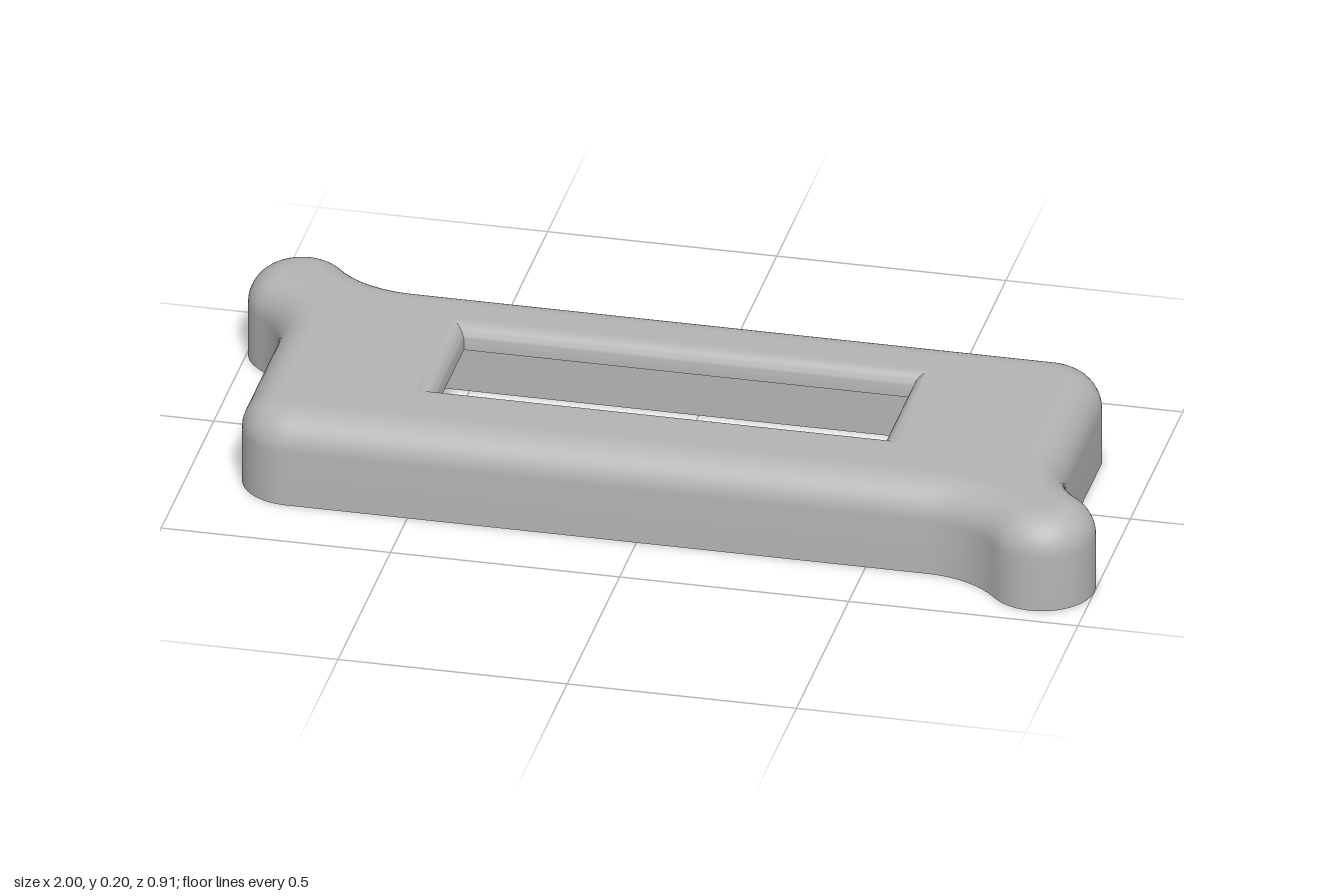
import * as THREE from 'three';
import { toCreasedNormals } from 'three/addons/utils/BufferGeometryUtils.js';

const H = 0.205, CEIL = 0.15;           // overall height, underside of the roof
const BX = 0.885, BZ = 0.34;            // half size of the body
const EAR = 0.115, CORNER = 0.12, BLEND = 0.215, FILLET = 0.08;
const WINDOW = { x: 0.49, z0: -0.158, z1: 0.119, fillet: 0.035 };

// Plan outline [x, z], inset by d: rounded corner, blend, ear, blend, then the same turned half a turn
function outline(d) {
  const dx = Math.sqrt(2 * EAR * BLEND + EAR * EAR);
  const t = Math.atan2(BLEND, dx), P = Math.PI;
  const half = [];
  const arc = (cx, cz, r, a0, a1, n, skip = 0) => {
    for (let i = skip; i <= n - skip; i++) {
      const a = a0 + (a1 - a0) * i / n;
      half.push([cx + r * Math.cos(a), cz + r * Math.sin(a)]);
    }
  };
  arc(BX - CORNER, -BZ + CORNER, CORNER - d, -P / 2, 0, 14);
  arc(BX + BLEND, BZ - dx, BLEND + d, P, P / 2 + t, 12);
  arc(BX, BZ, EAR - d, t - P / 2, P - t, 32, 1);
  arc(BX - dx, BZ + BLEND, BLEND + d, -t, -P / 2, 12);
  return [...half, ...half.map(([x, z]) => [-x, -z])];
}

const rect = (x, z0, z1, g = 0) =>
  [[x + g, z0 - g], [x + g, z1 + g], [-x - g, z1 + g], [-x - g, z0 - g]];

const circle = (cx, cz, r, n = 32) => Array.from({ length: n }, (_, i) => {
  const a = i / n * Math.PI * 2;
  return [cx + r * Math.cos(a), cz + r * Math.sin(a)];
});

// Wall through closed loops {pts, y}; rising loops face outward, falling loops face inward
function wall(loops) {
  const pos = [];
  for (let k = 0; k + 1 < loops.length; k++) {
    const n = loops[k].pts.length;
    const v = (l, i) => [l.pts[i % n][0], l.y, l.pts[i % n][1]];
    for (let i = 0; i < n; i++) {
      const a = v(loops[k], i), a2 = v(loops[k], i + 1);
      const b = v(loops[k + 1], i), b2 = v(loops[k + 1], i + 1);
      pos.push(...a, ...b, ...a2, ...a2, ...b, ...b2);
    }
  }
  const g = new THREE.BufferGeometry();
  g.setAttribute('position', new THREE.Float32BufferAttribute(pos, 3));
  return toCreasedNormals(g, 0.5);
}

// Flat horizontal face with holes
function plate(pts, holes, y, up) {
  const s = up ? -1 : 1;
  const flat = p => p.map(([x, z]) => new THREE.Vector2(x, s * z));
  const shape = new THREE.Shape(flat(pts));
  holes.forEach(h => shape.holes.push(new THREE.Path(flat(h))));
  return new THREE.ShapeGeometry(shape).rotateX(s * Math.PI / 2).translate(0, y, 0);
}

export function createModel() {
  const group = new THREE.Group();
  const grey = new THREE.MeshStandardMaterial({ color: 0xb4b4b4 });
  grey.name = 'grey';
  const add = (name, geometry) => {
    const mesh = new THREE.Mesh(geometry, grey);
    mesh.name = name;
    group.add(mesh);
  };

  // Outer wall with its rounded upper edge
  const outer = [{ pts: outline(0), y: 0 }];
  for (let i = 0; i <= 12; i++) {
    const a = i / 12 * Math.PI / 2;
    outer.push({ pts: outline(FILLET * (1 - Math.cos(a))), y: H - FILLET + FILLET * Math.sin(a) });
  }
  add('outerWall', wall(outer));

  // Window edge, rounded at the top and mitred at the corners
  const { x, z0, z1, fillet } = WINDOW;
  const edge = [];
  for (let i = 0; i <= 8; i++) {
    const a = i / 8 * Math.PI / 2;
    edge.push({ pts: rect(x, z0, z1, fillet * (1 - Math.sin(a))), y: H - fillet + fillet * Math.cos(a) });
  }
  edge.push({ pts: rect(x, z0, z1), y: CEIL });
  add('windowEdge', wall(edge));
  add('topFace', plate(outline(FILLET), [rect(x, z0, z1, fillet)], H, true));

  // Hollow underside
  const cavity = rect(0.8, -0.255, 0.255);
  add('cavityWalls', wall([{ pts: cavity, y: CEIL }, { pts: cavity, y: 0 }]));
  add('cavityCeiling', plate(cavity, [rect(x, z0, z1)], CEIL, false));

  // Blind screw holes under the two ears
  const holes = [1, -1].map(s => circle(s * BX, s * BZ, 0.04));
  holes.forEach(h => {
    add('screwHole', wall([{ pts: h, y: 0.13 }, { pts: h, y: 0 }]));
    add('screwHoleEnd', plate(h, [], 0.13, false));
  });
  add('bottomRim', plate(outline(0), [cavity, ...holes], 0, false));
  return group;
}
